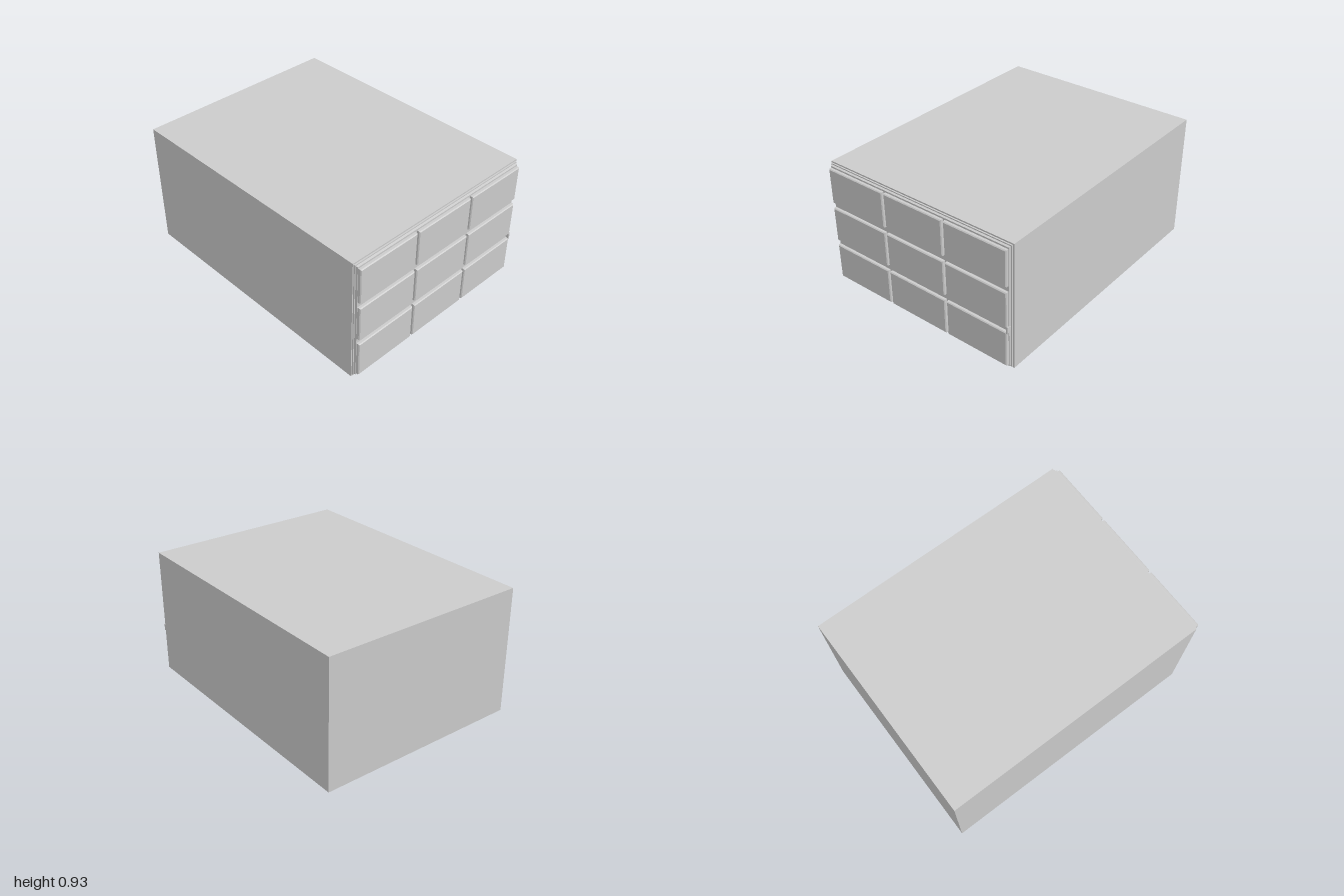
import * as THREE from 'three';

export function createModel() {
  const model = new THREE.Group();
  const material = new THREE.MeshStandardMaterial({ color: 0xcccccc, flatShading: true });

  // Box given by its limits
  function box(name, x0, x1, y0, y1, z0, z1) {
    const mesh = new THREE.Mesh(new THREE.BoxGeometry(x1 - x0, y1 - y0, z1 - z0), material);
    mesh.position.set((x0 + x1) / 2, (y0 + y1) / 2, (z0 + z1) / 2);
    mesh.name = name;
    model.add(mesh);
    return mesh;
  }

  // Box whose front face is drawn in to form a chamfer
  function chamferedBox(name, x0, x1, y0, y1, z0, z1, inset) {
    const mesh = box(name, x0, x1, y0, y1, z0, z1);
    const p = mesh.geometry.attributes.position;
    for (let i = 0; i < p.count; i++) {
      if (p.getZ(i) > 0) {
        p.setX(i, p.getX(i) - Math.sign(p.getX(i)) * inset);
        p.setY(i, p.getY(i) - Math.sign(p.getY(i)) * inset);
      }
    }
    mesh.geometry.computeVertexNormals();
    return mesh;
  }

  // Cabinet
  box('cabinetBody', -0.757, 0.757, 0, 0.925, -1, 0.953);

  // Stepped frame behind the drawer fronts
  box('frameOuterStep', -0.75, 0.747, 0.01, 0.915, 0.95, 0.963);
  chamferedBox('frameInnerStep', -0.744, 0.741, 0.018, 0.908, 0.96, 0.977, 0.004);

  // Three by three raised drawer fronts
  const columns = [[-0.737, -0.258], [-0.242, 0.238], [0.254, 0.733]];
  const rows = [[0.033, 0.296], [0.335, 0.593], [0.633, 0.893]];
  for (const [y0, y1] of rows) {
    for (const [x0, x1] of columns) {
      box('drawerEdge', x0, x1, y0, y1, 0.97, 0.994);
      chamferedBox('drawerFront', x0, x1, y0, y1, 0.994, 1, 0.006);
    }
  }

  // Small catch on the side between the lower rows
  const catchShape = new THREE.Shape();
  catchShape.moveTo(0.96, 0.31);
  catchShape.lineTo(0.998, 0.288);
  catchShape.lineTo(0.998, 0.34);
  catchShape.lineTo(0.96, 0.33);
  catchShape.closePath();
  const catchGeometry = new THREE.ExtrudeGeometry(catchShape, { depth: 0.012, bevelEnabled: false });
  // Profile x becomes depth z, extrusion becomes -x
  catchGeometry.rotateY(-Math.PI / 2);
  const sideCatch = new THREE.Mesh(catchGeometry, material);
  sideCatch.position.x = 0.741;
  sideCatch.name = 'sideCatch';
  model.add(sideCatch);

  return model;
}
